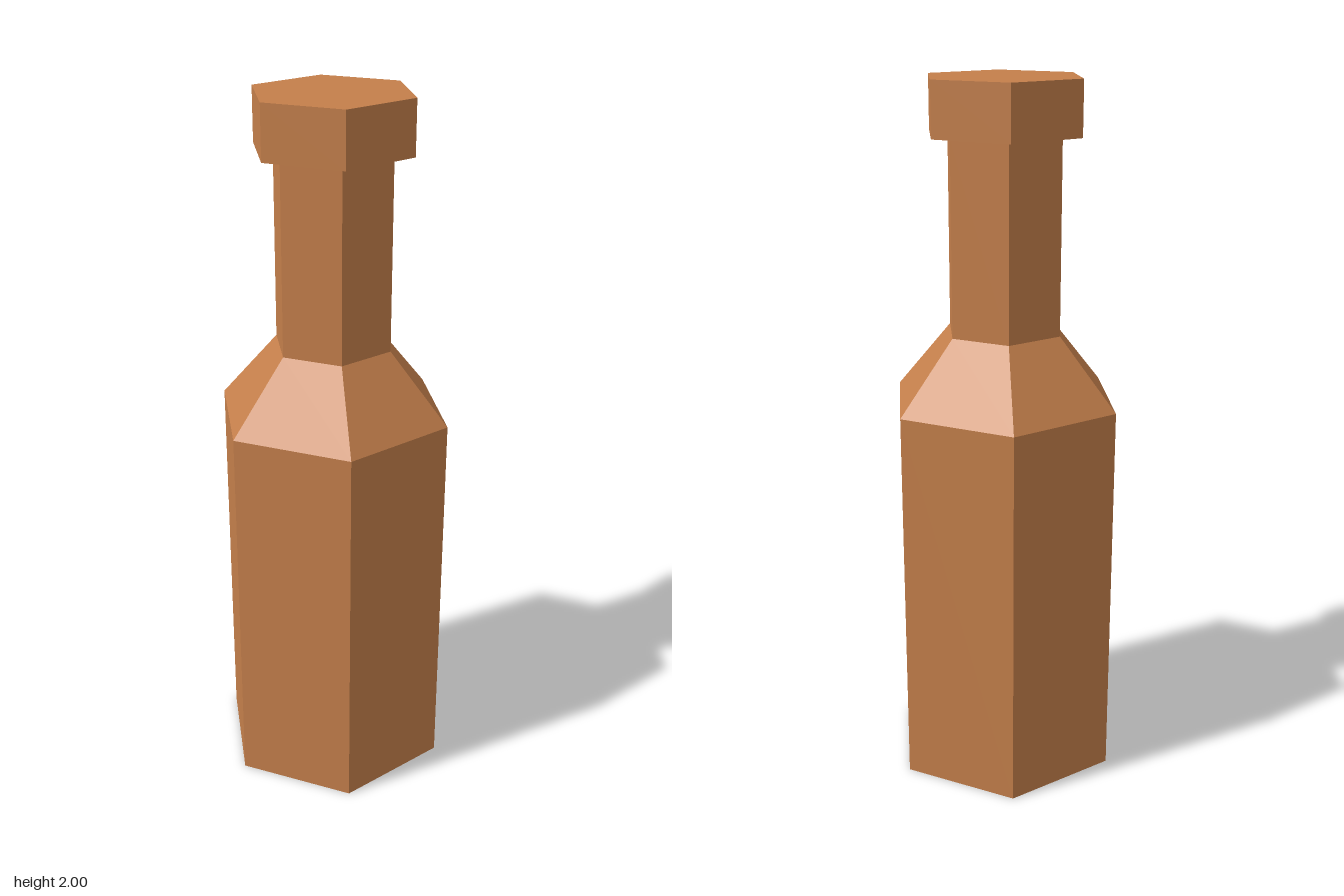
import * as THREE from 'three';

export function createModel() {
  const model = new THREE.Group();
  model.name = 'bottle';
  const brown = new THREE.MeshStandardMaterial({ color: 0xc47f4b });
  brown.name = 'brown';

  // One six-sided section, flat shaded by giving every face its own normals
  function section(name, bottomRadius, topRadius, y0, y1, profileStart, profileEnd) {
    const points = [
      ...(profileStart ? [[0, y0]] : []),
      [bottomRadius, y0],
      [topRadius, y1],
      ...(profileEnd ? [[0, y1]] : []),
    ].map(([r, y]) => new THREE.Vector2(r, y));
    const geometry = new THREE.LatheGeometry(points, 6).toNonIndexed();
    geometry.computeVertexNormals();
    const mesh = new THREE.Mesh(geometry, brown);
    mesh.name = name;
    model.add(mesh);
  }

  // Closed at the base and around the cap, open where sections join
  section('body', 0.342, 0.342, 0, 1.11, true, false);
  section('shoulder', 0.342, 0.171, 1.11, 1.31, false, false);
  section('neck', 0.171, 0.171, 1.31, 1.85, false, false);
  section('cap', 0.228, 0.228, 1.85, 2, true, true);

  return model;
}
